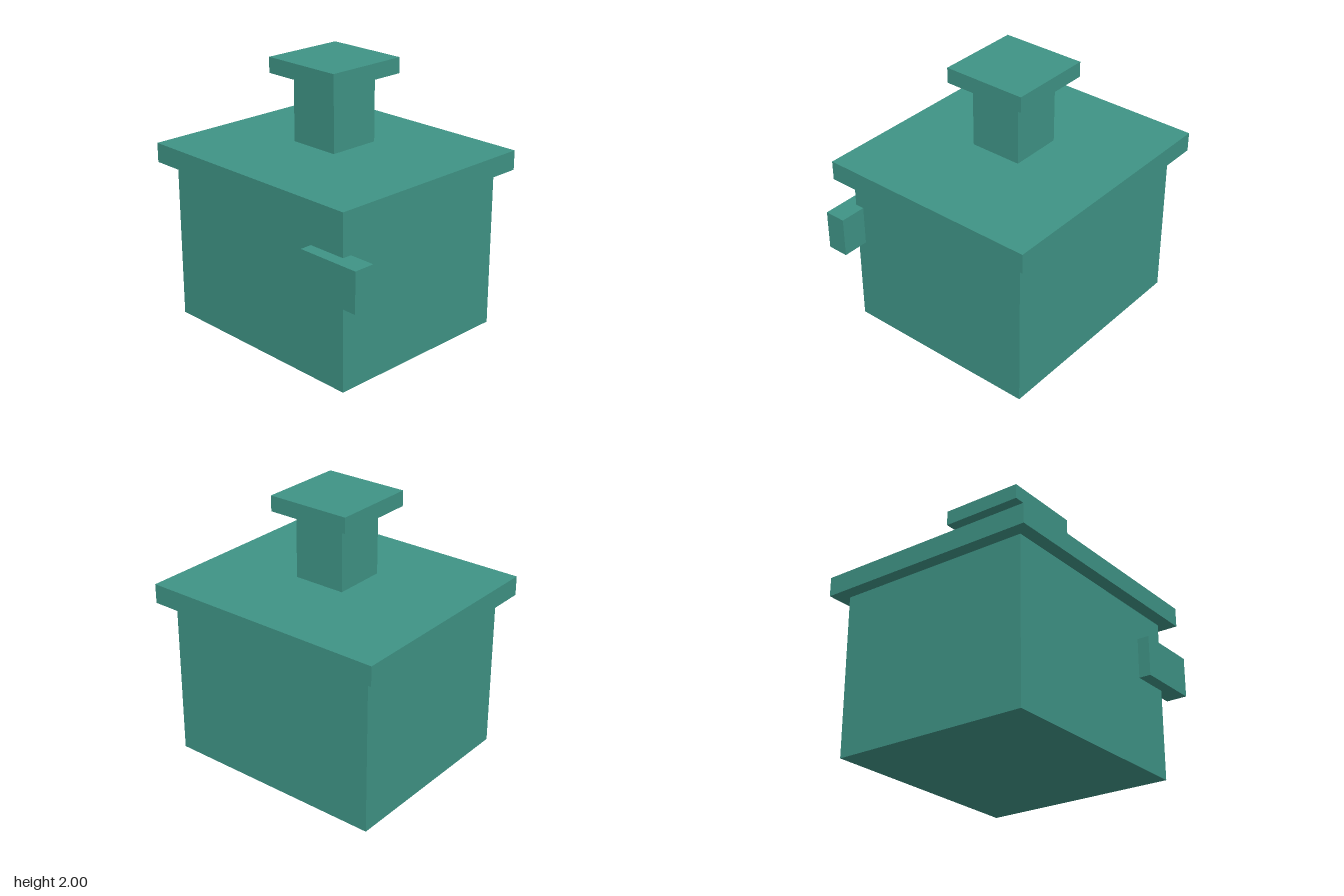
import * as THREE from 'three';

export function createModel() {
  const model = new THREE.Group();
  model.name = 'lidded box';
  const teal = new THREE.MeshStandardMaterial({ color: 0x3f9486 });
  teal.name = 'teal';

  // Box given by its minimum and maximum along each axis
  function addBox(name, [x0, x1], [y0, y1], [z0, z1]) {
    const mesh = new THREE.Mesh(new THREE.BoxGeometry(x1 - x0, y1 - y0, z1 - z0), teal);
    mesh.name = name;
    mesh.position.set((x0 + x1) / 2, (y0 + y1) / 2, (z0 + z1) / 2);
    model.add(mesh);
  }

  // Main body and overhanging lid
  addBox('body', [-0.9, 0.8], [0, 1.2], [-0.75, 0.75]);
  addBox('lid', [-1, 0.9], [1.2, 1.345], [-0.85, 0.85]);

  // Post floating just above the lid, with its cap
  addBox('post', [-0.25, 0.15], [1.385, 1.885], [-0.2, 0.2]);
  addBox('postCap', [-0.37, 0.27], [1.885, 2], [-0.32, 0.32]);

  // Block set into the front left corner
  addBox('sideBlock', [0.5, 1], [0.675, 0.975], [0.68, 0.84]);

  return model;
}
